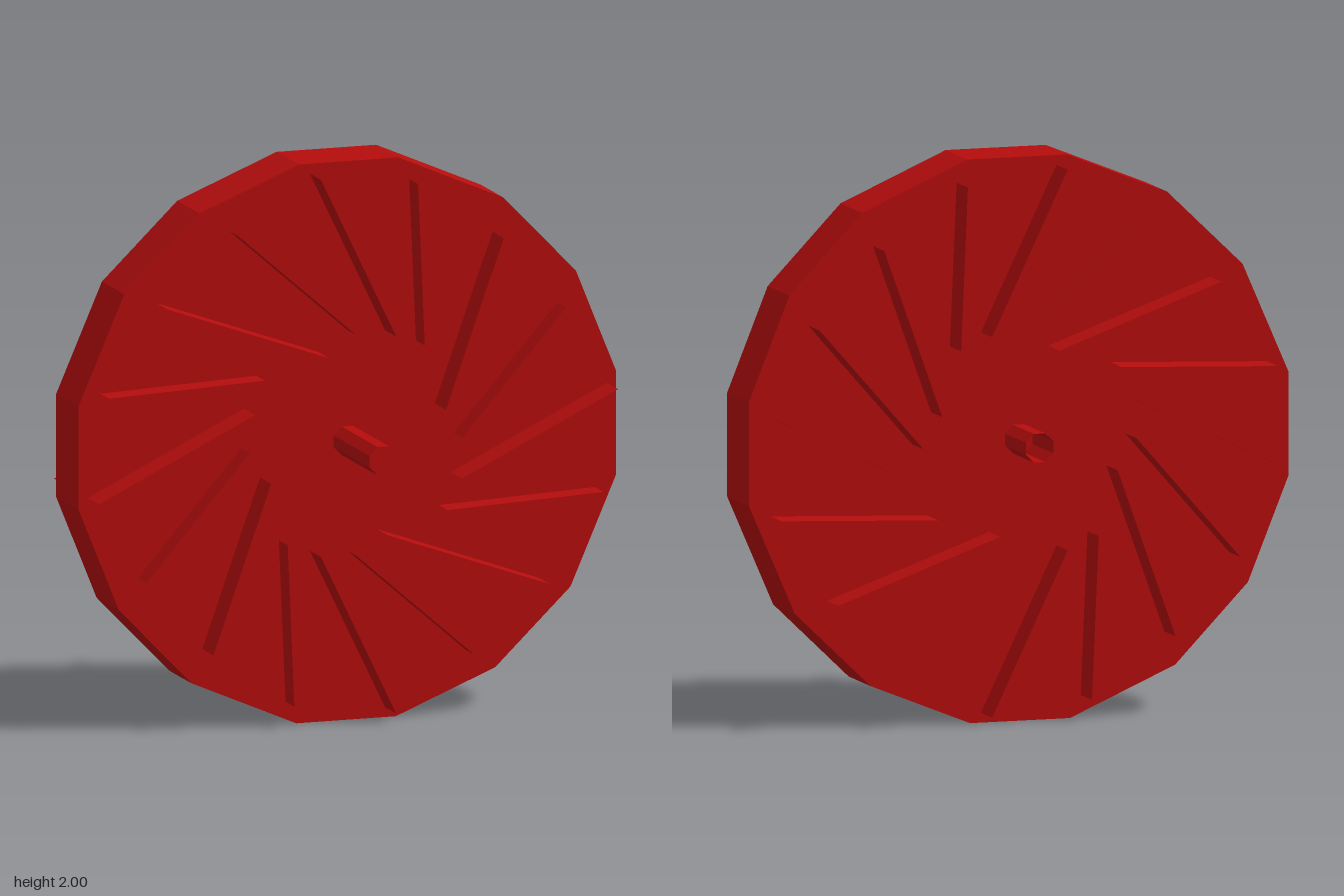
import * as THREE from 'three';

export function createModel() {
  const model = new THREE.Group();
  model.name = 'finnedWheel';
  const red = new THREE.MeshStandardMaterial({ color: 0xb50d0d, flatShading: true, side: THREE.DoubleSide });

  const add = (name, geometry, parent = model) => {
    const mesh = new THREE.Mesh(geometry, red);
    mesh.name = name;
    parent.add(mesh);
    return mesh;
  };

  // Sixteen-sided disc: one quarter of the outline, turned four times
  const quarter = [[0.19, 1], [0.58, 0.83], [0.85, 0.55], [1, 0.18]];
  const outline = [];
  for (let q = 0; q < 4; q++) {
    for (const [x, y] of quarter) {
      outline.push(new THREE.Vector2(x, y).rotateAround(new THREE.Vector2(), -q * Math.PI / 2));
    }
  }
  const disc = new THREE.ExtrudeGeometry(new THREE.Shape(outline), { depth: 0.235, bevelEnabled: false });
  add('disc', disc.translate(0, 0, -0.193));

  // Axle: eight-sided tube, capped at the front and open at the back
  const axle = new THREE.Group();
  axle.name = 'axle';
  model.add(axle);
  const r = 0.055, turn = Math.PI / 8;
  const tube = new THREE.CylinderGeometry(r, r, 0.84, 8, 1, true, turn);
  add('axleTube', tube.rotateX(Math.PI / 2), axle);
  add('axleCap', new THREE.CircleGeometry(r, 8, turn).translate(0, 0, 0.42), axle);

  // Thin swirled fins through the disc: outer x, y, inner x, y, front z
  const fins = new THREE.Group();
  fins.name = 'fins';
  model.add(fins);
  const finSet = [
    [-0.14, 0.965, 0.14, 0.385, 0.16],
    [-0.44, 0.78, 0, 0.395, 0.135],
    [-0.71, 0.54, -0.11, 0.325, 0.16],
    [-0.92, 0.23, -0.34, 0.255, 0.135],
  ];
  const back = -0.315;
  for (let q = 0; q < 4; q++) {
    for (const [x0, y0, x1, y1, front] of finSet) {
      const fin = new THREE.PlaneGeometry(Math.hypot(x1 - x0, y1 - y0), front - back);
      fin.rotateX(Math.PI / 2);
      fin.rotateZ(Math.atan2(y1 - y0, x1 - x0));
      fin.translate((x0 + x1) / 2, (y0 + y1) / 2, (front + back) / 2);
      add('fin', fin.rotateZ(q * Math.PI / 2), fins);
    }
  }

  model.position.y = 1;
  return model;
}
